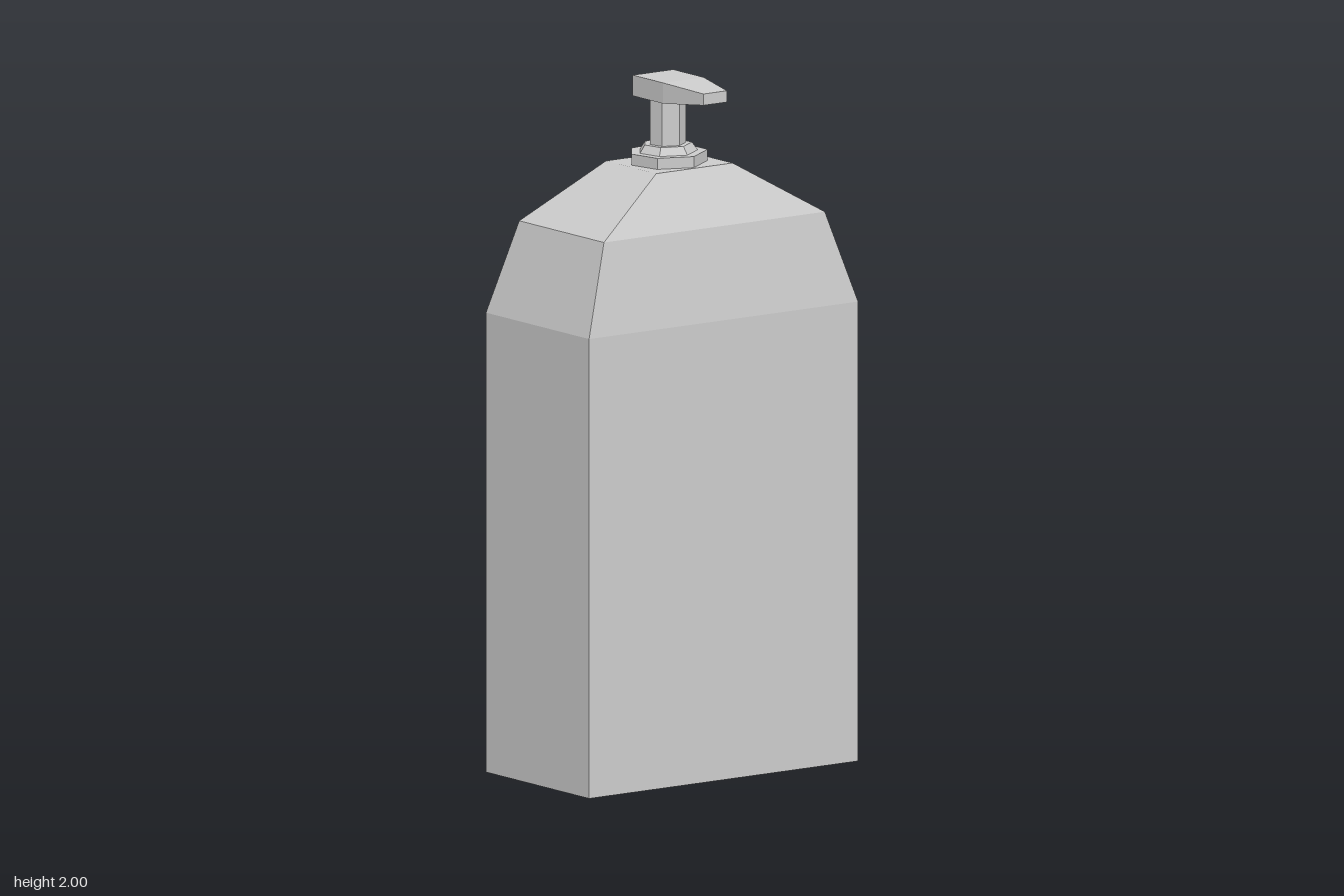
import * as THREE from 'three';

const material = new THREE.MeshStandardMaterial({ color: 0xcccccc, flatShading: true });

// Skin a list of convex rings (arrays of [x, y, z]) and cap both ends.
function loft(name, rings) {
  const pos = [];
  const tri = (a, b, c) => pos.push(...a, ...b, ...c);
  const n = rings[0].length;
  for (let k = 0; k < rings.length - 1; k++) {
    const a = rings[k], b = rings[k + 1];
    for (let i = 0; i < n; i++) {
      const j = (i + 1) % n;
      tri(a[i], b[i], a[j]);
      tri(a[j], b[i], b[j]);
    }
  }
  const first = rings[0], last = rings[rings.length - 1];
  for (let i = 1; i < n - 1; i++) {
    tri(first[0], first[i], first[i + 1]);
    tri(last[0], last[i + 1], last[i]);
  }
  const geometry = new THREE.BufferGeometry();
  geometry.setAttribute('position', new THREE.Float32BufferAttribute(pos, 3));
  geometry.computeVertexNormals();
  const mesh = new THREE.Mesh(geometry, material);
  mesh.name = name;
  return mesh;
}

// Horizontal rectangle at height y
const rect = (y, x0, x1, z0, z1) => [[x1, y, z0], [x1, y, z1], [x0, y, z1], [x0, y, z0]];

// Upright rectangle across the nozzle at position x
const slice = (x, y0, y1, z0, z1) => [[x, y1, z1], [x, y1, z0], [x, y0, z0], [x, y0, z1]];

// Slightly uneven seven-sided outline shared by the pump parts, about the pump axis
const AXIS = { x: -0.01, z: 0.012 };
const OUTLINE = [
  [0.075, 0.088], [-0.02, 0.109], [-0.095, 0.053], [-0.107, -0.042],
  [-0.045, -0.108], [0.05, -0.108], [0.115, -0.012],
];
const heptagon = (y, s) => OUTLINE.map(([x, z]) => [AXIS.x + x * s, y, AXIS.z + z * s]);

export function createModel() {
  const group = new THREE.Group();
  group.name = 'pumpBottle';

  // Bottle with straight walls and two sloping shoulders
  group.add(loft('bottle', [
    rect(0, -0.247, 0.247, -0.475, 0.475),
    rect(1.33, -0.247, 0.247, -0.475, 0.475),
    rect(1.593, -0.203, 0.203, -0.39, 0.39),
    rect(1.75, -0.126, 0.114, -0.13, 0.14),
  ]));

  // Pump collar, its bevelled top and the stem
  group.add(loft('collar', [heptagon(1.745, 1), heptagon(1.782, 1)]));
  group.add(loft('collarBevel', [heptagon(1.782, 0.76), heptagon(1.805, 0.62)]));
  group.add(loft('stem', [heptagon(1.8, 0.47), heptagon(1.945, 0.47)]));

  // Pump head tapering to the spout
  group.add(loft('pumpHead', [
    slice(-0.073, 1.94, 2, -0.058, 0.085),
    slice(0.073, 1.94, 2, -0.058, 0.085),
    slice(0.225, 1.955, 1.988, -0.028, 0.055),
  ]));
  return group;
}
